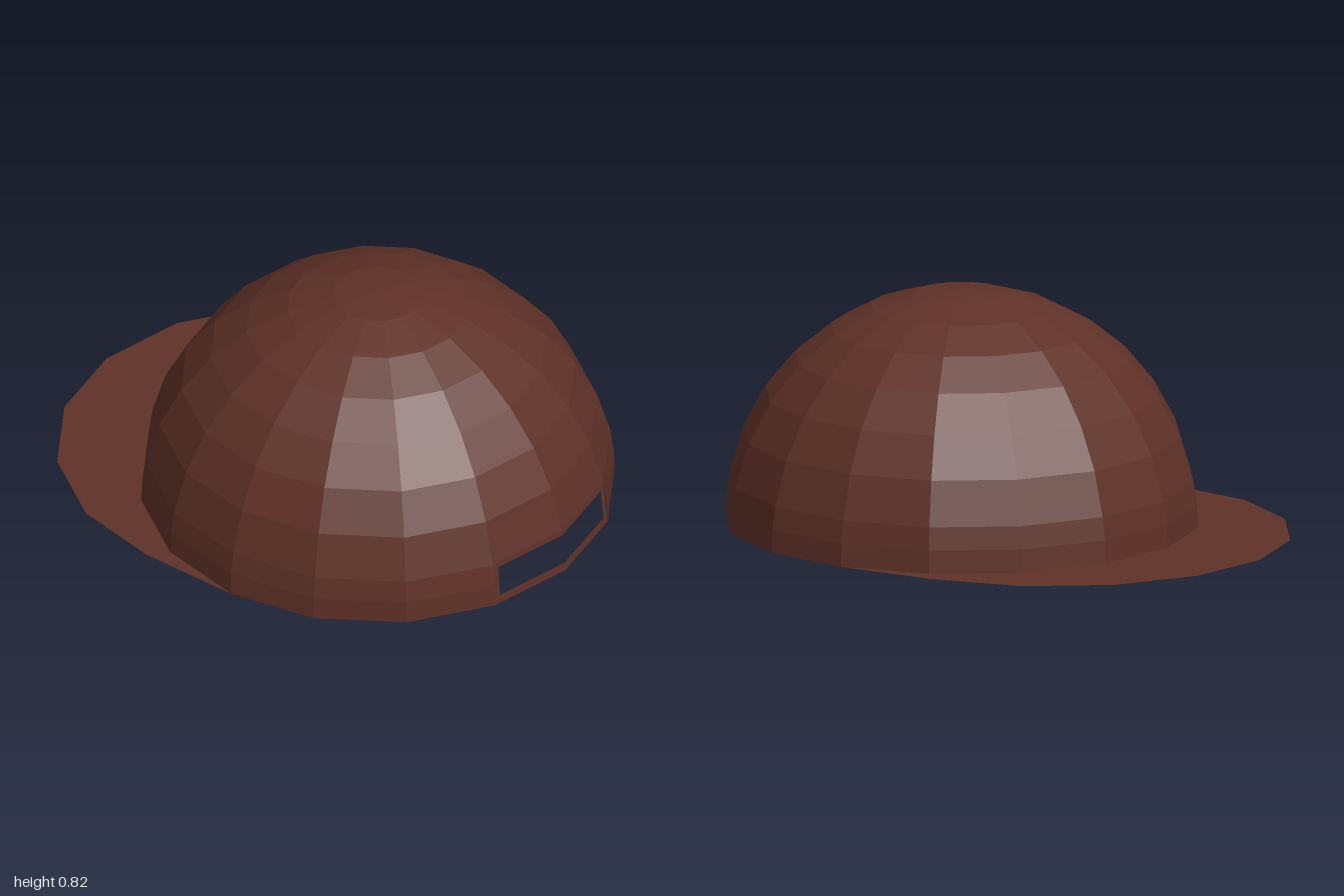
import * as THREE from 'three';

const R = 0.817;          // crown radius
const CZ = 0.183;         // crown centre along z
const REACH = 0.366;      // how far the brim extends behind the crown
const SIDES = 16, RINGS = 8;
const STEP = (Math.PI * 2) / SIDES;
const RING = Math.PI / 2 / RINGS;

// Geometry from a list of quads, each four corners counter-clockwise
function quadGeometry(quads) {
  const pos = [];
  for (const [a, b, c, d] of quads) pos.push(...a, ...b, ...c, ...a, ...c, ...d);
  const g = new THREE.BufferGeometry();
  g.setAttribute('position', new THREE.Float32BufferAttribute(pos, 3));
  g.computeVertexNormals();
  return g;
}

export function createModel() {
  const cap = new THREE.Group();
  cap.name = 'cap';
  const cloth = new THREE.MeshStandardMaterial({ color: 0x5f3127, flatShading: true, side: THREE.DoubleSide });
  cloth.name = 'brown cloth';

  const add = (name, geometry) => {
    const mesh = new THREE.Mesh(geometry, cloth);
    mesh.name = name;
    mesh.position.z = CZ;
    cap.add(mesh);
  };

  // Crown above the lowest ring
  add('crown', new THREE.SphereGeometry(R, SIDES, RINGS - 1, 0, Math.PI * 2, 0, RING * (RINGS - 1)));

  // Lowest ring, leaving out the two front panels
  add('crownBand', new THREE.SphereGeometry(R, SIDES - 2, 1, Math.PI / 2 + STEP, Math.PI * 2 - 2 * STEP, RING * (RINGS - 1), RING));

  // Two front panels with the adjustment opening and the strap under it
  const ringY = R * Math.sin(RING), ringR = R * Math.cos(RING);
  const point = (s, y) => {
    const r = R + (ringR - R) * (y / ringY);
    return [r * Math.sin(STEP) * s, y, r * (1 - Math.abs(s) * (1 - Math.cos(STEP)))];
  };
  const cols = [-1, -0.92, 0, 0.92, 1], rows = [0, 0.03, 0.14, ringY];
  const panels = [];
  for (let i = 0; i < 4; i++) {
    for (let j = 0; j < 3; j++) {
      if (j === 1 && (i === 1 || i === 2)) continue;
      panels.push([
        point(cols[i], rows[j]), point(cols[i + 1], rows[j]),
        point(cols[i + 1], rows[j + 1]), point(cols[i], rows[j + 1]),
      ]);
    }
  }
  add('openingPanels', quadGeometry(panels));

  // Flat brim between the crown edge and the same arc moved back
  const rim = (i, shift) => [R * Math.cos(i * STEP), 0, -R * Math.sin(i * STEP) - shift];
  const brim = [];
  for (let i = 0; i < SIDES / 2; i++) {
    brim.push([rim(i, 0), rim(i, REACH), rim(i + 1, REACH), rim(i + 1, 0)]);
  }
  add('brim', quadGeometry(brim));

  return cap;
}
